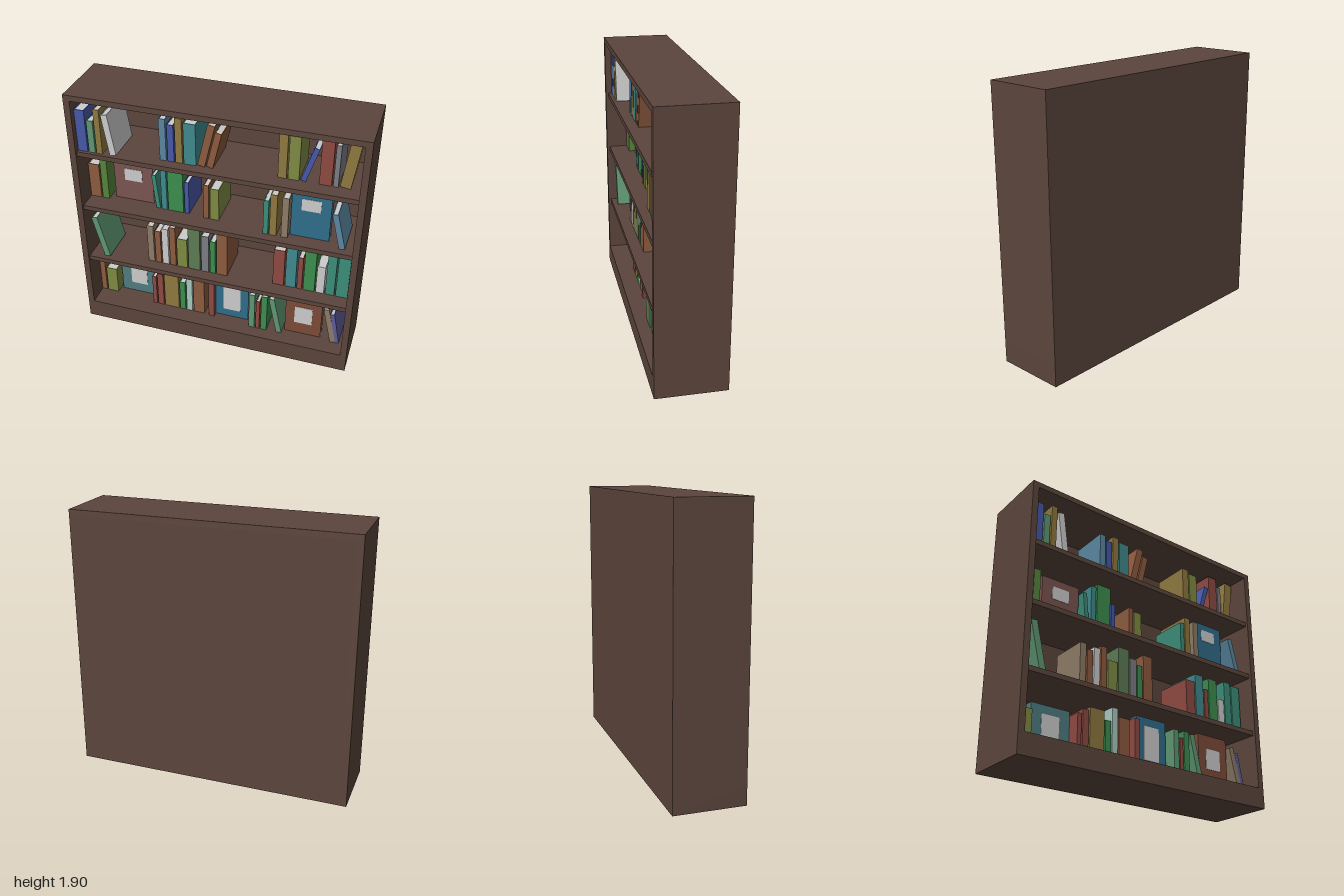
import * as THREE from 'three';

const material = (color) => new THREE.MeshStandardMaterial({ color });
const wood = material(0x5b453c);
const paper = material(0xcccccc);
const blue = material(0x4658a8), green = material(0x3c8c4e), leaf = material(0x56843c);
const sage = material(0x5f9673), moss = material(0x5c7a54), lime = material(0x7f8a42);
const gold = material(0x8f7840), teal = material(0x40898c), jade = material(0x3c8c78);
const sky = material(0x5a87a0), sea = material(0x2f6c8a), slate = material(0x4f7c80);
const brown = material(0x8c5a3e), rust = material(0x7c4a38), red = material(0x8e4a42);
const mauve = material(0x7a5450), tan = material(0x8c7a66), mint = material(0xa8c8c0);
const grey = material(0x7c7c84), violet = material(0x5e5c98);

const DEPTH = 0.28;
const GAP = 0.01;

function addBox(parent, name, mat, w, h, d, x, y, z) {
  const mesh = new THREE.Mesh(new THREE.BoxGeometry(w, h, d), mat);
  mesh.name = name;
  mesh.position.set(x, y, z);
  parent.add(mesh);
}

// Closed book centred on its own origin: spine towards +z, boards on both sides, pages inside
function addBook(parent, name, mat, t, h, d) {
  const book = new THREE.Group();
  const board = 0.005;
  book.name = name;
  addBox(book, 'spine', mat, t, h, board, 0, 0, d / 2 - board / 2);
  for (const s of [-1, 1]) {
    addBox(book, 'coverBoard', mat, board, h, d - board, s * (t - board) / 2, 0, -board / 2);
  }
  addBox(book, 'pages', paper, t - 2 * board, h - 0.008, d - 0.012, 0, 0, -0.001);
  parent.add(book);
  return book;
}

// Packs books from left to right; each is [cover, thickness, height, lean], positive lean tips right.
// Neighbours that lean the same way nest against each other.
function addRun(row, start, front, books) {
  let x = start;
  books.forEach(([mat, t, h, lean = 0], i) => {
    const sin = Math.sin(Math.abs(lean)), cos = Math.cos(lean);
    const width = t * cos + h * sin;
    const book = addBook(row, lean ? 'leaningBook' : 'uprightBook', mat, t, h, DEPTH);
    book.rotation.z = -lean;
    book.position.set(x + width / 2, (h * cos + t * sin) / 2, front - DEPTH / 2);
    const next = books[i + 1];
    const nests = lean && next && next[3] * lean > 0;
    x += GAP + (nests ? t / cos : width);
  });
}

// Book shown cover first with a plain panel
function addDisplay(row, x, front, mat, w, h, panelHeight, panelY) {
  const t = 0.07;
  const book = addBook(row, 'displayBook', mat, t, h, w);
  book.rotation.y = -Math.PI / 2;
  book.position.set(x, h / 2, front - t / 2);
  addBox(row, 'coverPanel', paper, 0.13, panelHeight, 0.004, x, panelY, front + 0.001);
}

export function createModel() {
  const model = new THREE.Group();
  model.name = 'bookcase';

  // Case
  for (const s of [-1, 1]) {
    addBox(model, s > 0 ? 'leftSide' : 'rightSide', wood, 0.045, 1.715, 0.49, s * 0.9775, 1.0025, 0);
  }
  addBox(model, 'topBoard', wood, 2, 0.04, 0.49, 0, 1.88, 0);
  addBox(model, 'plinth', wood, 2, 0.145, 0.49, 0, 0.0725, 0);
  addBox(model, 'backPanel', wood, 1.91, 1.715, 0.025, 0, 1.0025, -0.2325);

  // Shelves, each carrying a row of books; the lowest row stands on the plinth
  const [bottom, lower, upper, top] = [0.145, 0.575, 1.03, 1.47].map((y, i) => {
    if (i > 0) addBox(model, 'shelf', wood, 1.91, 0.035, 0.445, 0, y - 0.0175, 0.0025);
    const row = new THREE.Group();
    row.name = 'bookRow';
    row.position.y = y;
    model.add(row);
    return row;
  });

  // Top row
  addRun(top, -0.955, 0.2, [
    [blue, 0.07, 0.31], [sage, 0.045, 0.24], [gold, 0.042, 0.33], [paper, 0.045, 0.3, -0.147]]);
  addRun(top, -0.385, 0.15, [
    [sky, 0.045, 0.31], [blue, 0.045, 0.275], [gold, 0.048, 0.33], [teal, 0.084, 0.305],
    [brown, 0.05, 0.32, 0.23], [brown, 0.045, 0.27, 0.23]]);
  addRun(top, 0.41, 0.12, [
    [gold, 0.057, 0.34], [lime, 0.073, 0.315], [blue, 0.035, 0.26, 0.3],
    [red, 0.08, 0.365], [grey, 0.033, 0.3], [gold, 0.07, 0.364, 0.135]]);

  // Upper row
  addRun(upper, -0.955, 0.09, [[brown, 0.08, 0.27], [leaf, 0.05, 0.315]]);
  addDisplay(upper, -0.633, 0.05, mauve, 0.29, 0.31, 0.095, 0.207);
  addRun(upper, -0.48, 0.095, [
    [jade, 0.03, 0.268, -0.1], [teal, 0.04, 0.34], [green, 0.111, 0.37], [blue, 0.032, 0.255]]);
  addRun(upper, -0.1, 0.11, [[brown, 0.037, 0.27], [lime, 0.063, 0.25]]);
  addRun(upper, 0.335, 0.16, [[jade, 0.035, 0.27], [gold, 0.047, 0.325]]);
  addRun(upper, 0.46, 0.16, [[tan, 0.045, 0.315]]);
  addDisplay(upper, 0.645, 0.115, sea, 0.266, 0.355, 0.09, 0.26);
  addRun(upper, 0.793, 0.18, [[sky, 0.04, 0.273, -0.24]]);

  // Lower row
  addRun(lower, -0.925, 0.19, [[sage, 0.045, 0.338, -0.235]]);
  addRun(lower, -0.52, 0.14, [
    [tan, 0.047, 0.315], [brown, 0.043, 0.28], [paper, 0.048, 0.31], [brown, 0.045, 0.335],
    [lime, 0.077, 0.25], [moss, 0.087, 0.37], [grey, 0.055, 0.315], [green, 0.04, 0.28],
    [brown, 0.078, 0.37]]);
  addRun(lower, 0.41, 0.12, [
    [red, 0.08, 0.305], [teal, 0.075, 0.37], [red, 0.035, 0.275], [green, 0.08, 0.37],
    [paper, 0.057, 0.23], [jade, 0.063, 0.385], [jade, 0.082, 0.37]]);

  // Bottom row
  addRun(bottom, -0.955, 0.085, [[brown, 0.04, 0.365], [lime, 0.085, 0.22]]);
  addDisplay(bottom, -0.657, 0.03, slate, 0.286, 0.29, 0.15, 0.155);
  addRun(bottom, -0.512, 0.12, [
    [red, 0.03, 0.26], [red, 0.045, 0.295], [gold, 0.112, 0.32], [green, 0.043, 0.26],
    [mint, 0.045, 0.36], [brown, 0.085, 0.305]]);
  addRun(bottom, -0.065, 0.13, [[red, 0.043, 0.325]]);
  addDisplay(bottom, 0.105, 0.09, sea, 0.25, 0.365, 0.24, 0.185);
  addRun(bottom, 0.252, 0.155, [
    [sage, 0.043, 0.31], [red, 0.028, 0.26], [green, 0.045, 0.315], [sage, 0.04, 0.308, -0.21]]);
  addDisplay(bottom, 0.648, 0.11, rust, 0.266, 0.35, 0.15, 0.175);
  addRun(bottom, 0.793, 0.135, [[tan, 0.04, 0.3, -0.22], [violet, 0.03, 0.265, -0.19]]);
  return model;
}
